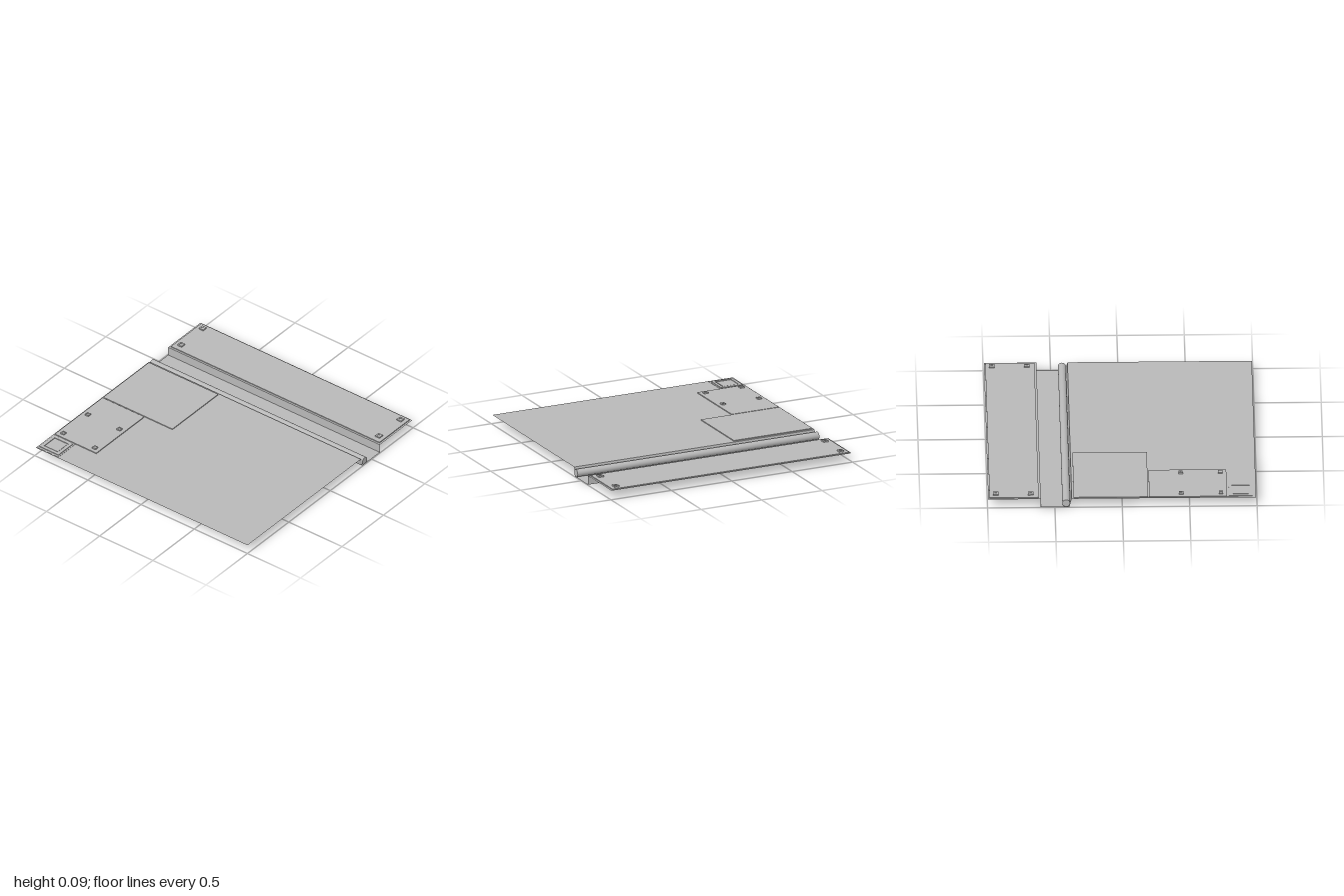
import * as THREE from 'three';

const concrete = new THREE.MeshStandardMaterial({ color: 0xb8b8b8 });
concrete.name = 'concreteGrey';
const sheetConcrete = new THREE.MeshStandardMaterial({ color: 0xb8b8b8, side: THREE.DoubleSide });
sheetConcrete.name = 'concreteGreySheet';

const BOTTOM = 0.065, TOP = 0.077;

export function createModel() {
  const model = new THREE.Group();
  model.name = 'groundTile';

  const add = (name, geometry, x = 0, y = 0, z = 0, material = concrete) => {
    const mesh = new THREE.Mesh(geometry, material);
    mesh.name = name;
    mesh.position.set(x, y, z);
    model.add(mesh);
    return mesh;
  };

  // Box given by its limits on each axis
  const block = (name, x0, x1, y0, y1, z0, z1) =>
    add(name, new THREE.BoxGeometry(x1 - x0, y1 - y0, z1 - z0),
      (x0 + x1) / 2, (y0 + y1) / 2, (z0 + z1) / 2);

  // Flat square ring, lying level
  const frame = (name, x, z, y0, y1, outer, inner) => {
    const square = (path, h) => path.moveTo(-h, -h).lineTo(h, -h).lineTo(h, h).lineTo(-h, h).closePath();
    const shape = square(new THREE.Shape(), outer);
    shape.holes.push(square(new THREE.Path(), inner));
    const geometry = new THREE.ExtrudeGeometry(shape, { depth: y1 - y0, bevelEnabled: false });
    add(name, geometry.rotateX(-Math.PI / 2), x, y0, z);
  };

  // Thin ground sheet folded down into the channel; profile is [z, y] from front to back
  const profile = [[0.993, 0.07], [-0.375, 0.07], [-0.393, 0], [-0.605, 0], [-0.605, 0.07], [-0.995, 0.07]];
  const names = ['ground', 'channelFrontWall', 'channelFloor', 'channelBackWall', 'backGround'];
  names.forEach((name, i) => {
    const [z0, y0] = profile[i], [z1, y1] = profile[i + 1];
    const geometry = new THREE.PlaneGeometry(1.99, Math.hypot(z1 - z0, y1 - y0));
    geometry.rotateX(Math.atan2(y1 - y0, z0 - z1) - Math.PI / 2);
    add(name, geometry, 0, (y0 + y1) / 2, (z0 + z1) / 2, sheetConcrete);
  });

  // Pipe lying in the channel
  add('pipe', new THREE.CylinderGeometry(0.029, 0.029, 2, 32).rotateZ(Math.PI / 2), 0, 0.035, -0.416);

  // Raised slabs
  block('backSlab', -0.98, 0.98, BOTTOM, TOP, -0.985, -0.62);
  block('largeSlab', -0.985, -0.335, BOTTOM, TOP, -0.36, 0.192);
  block('smallSlab', -0.985, -0.595, BOTTOM, TOP, 0.2, 0.777);

  // Corner hatch: base, rim and recessed lid
  block('hatchBase', -0.985, -0.79, BOTTOM, 0.072, 0.782, 0.985);
  frame('hatchRim', -0.89, 0.88, 0.072, TOP, 0.088, 0.066);
  block('hatchLid', -0.947, -0.833, 0.072, 0.0745, 0.823, 0.937);

  // Small anchor plates with a bolt in the middle
  const anchor = (x, z, half) => {
    frame('anchorPlate', x, z, TOP, 0.087, half, half * 0.45);
    block('anchorBolt', x - half * 0.45, x + half * 0.45, TOP, 0.083, z - half * 0.45, z + half * 0.45);
  };
  for (const x of [-0.93, 0.93]) for (const z of [-0.938, -0.678]) anchor(x, z, 0.02);
  for (const x of [-0.938, -0.64]) for (const z of [0.438, 0.733]) anchor(x, z, 0.016);

  return model;
}
